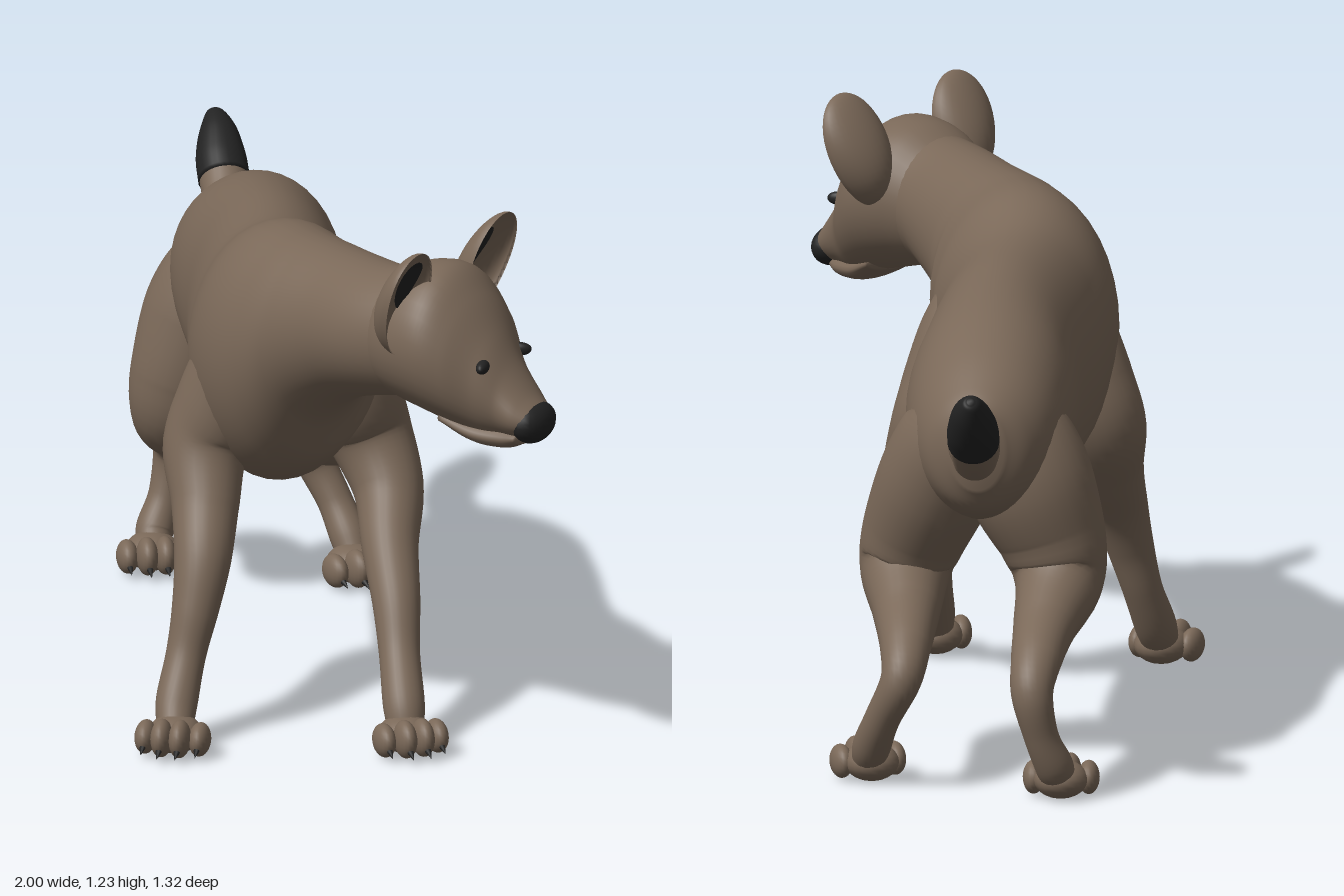
import * as THREE from 'three';

const fur = new THREE.MeshStandardMaterial({ color: 0x7a6858 });
fur.name = 'brownFur';
const dark = new THREE.MeshStandardMaterial({ color: 0x222222 });
dark.name = 'darkMarking';

const Y = new THREE.Vector3(0, 1, 0), Z = new THREE.Vector3(0, 0, 1);

// Smooth closed skin through elliptical sections [x, y, z, w, h].
// Upright sections stay vertical; otherwise they sit square to the path.
function loft(stations, upright, seg = 28, per = 7) {
  const path = new THREE.CatmullRomCurve3(stations.map(s => new THREE.Vector3(s[0], s[1], s[2])), false, 'catmullrom');
  const size = new THREE.CatmullRomCurve3(stations.map(s => new THREE.Vector3(s[3], s[4], 0)), false, 'catmullrom');
  const n = (stations.length - 1) * per, pos = [], idx = [], poles = [];
  for (let i = 0; i <= n; i++) {
    const c = path.getPoint(i / n), r = size.getPoint(i / n), t = path.getTangent(i / n);
    const side = new THREE.Vector3().crossVectors(upright ? Y : Z, t).normalize();
    const up = upright ? Y : new THREE.Vector3().crossVectors(t, side);
    for (let j = 0; j < seg; j++) {
      const a = j / seg * Math.PI * 2;
      const p = c.clone().addScaledVector(side, Math.cos(a) * r.x).addScaledVector(up, Math.sin(a) * r.y);
      pos.push(p.x, p.y, p.z);
    }
    if (i === 0 || i === n) poles.push(c.addScaledVector(t, (i ? 0.35 : -0.35) * Math.min(r.x, r.y)));
  }
  poles.forEach(p => pos.push(p.x, p.y, p.z));
  const first = (n + 1) * seg;
  for (let j = 0; j < seg; j++) {
    const k = (j + 1) % seg;
    for (let i = 0; i < n; i++) {
      const a = i * seg + j, b = i * seg + k;
      idx.push(a, b, a + seg, b, b + seg, a + seg);
    }
    idx.push(k, j, first, n * seg + j, n * seg + k, first + 1);
  }
  const g = new THREE.BufferGeometry();
  g.setAttribute('position', new THREE.Float32BufferAttribute(pos, 3));
  g.setIndex(idx);
  g.computeVertexNormals();
  return g;
}

function add(parent, name, geometry, material) {
  const m = new THREE.Mesh(geometry, material);
  m.name = name;
  parent.add(m);
  return m;
}

// Section given as x, top, bottom, z, half width
const section = ([x, top, bottom, z, w]) => [x, (top + bottom) / 2, z, w, (top - bottom) / 2];
const round = ([x, y, z, r]) => [x, y, z, r, r];

function ball(parent, name, material, p, s) {
  const m = add(parent, name, new THREE.SphereGeometry(1, 20, 14), material);
  m.position.set(...p);
  m.scale.set(...s);
  return m;
}

// Paw with four toes and claws, pointing along its local +x
function paw(name, x, z, heading) {
  const g = new THREE.Group();
  g.name = name;
  g.position.set(x, 0, z);
  g.rotation.y = -heading;
  ball(g, 'pad', fur, [-0.015, 0.052, 0], [0.065, 0.042, 0.06]);
  [-1.5, -0.5, 0.5, 1.5].forEach(k => {
    const mid = Math.abs(k) < 1, fx = mid ? 0.04 : 0.015, tz = k * 0.04;
    ball(g, 'toe', fur, [fx, mid ? 0.056 : 0.05, tz], [0.045, mid ? 0.042 : 0.037, 0.024]);
    const claw = add(g, 'claw', new THREE.ConeGeometry(0.009, 0.035, 8), dark);
    claw.position.set(fx + 0.047, 0.032, tz);
    claw.rotation.z = -2.0;
  });
  return g;
}

// Cupped ear: a sphere whose front half is pushed back into a bowl, thin at the tip
function ear(name, p, roll) {
  const g = new THREE.Group();
  g.name = name;
  g.position.set(...p);
  g.rotation.set(0.27, 1.88, roll, 'YXZ');
  const w = v => 0.093 * (0.92 + 0.12 * v), h = 0.128;
  const bowl = v => 0.04 - 0.02 * v;
  const shell = new THREE.SphereGeometry(1, 32, 24), a = shell.attributes.position;
  for (let i = 0; i < a.count; i++) {
    const x = a.getX(i), y = a.getY(i), z = a.getZ(i);
    a.setXYZ(i, x * w(y), y * h, z > 0 ? -bowl(y) * z : (bowl(y) + 0.025) * z);
  }
  shell.computeVertexNormals();
  add(g, 'earShell', shell, fur);
  // Dark lining following the bowl, wider at the top
  const lining = new THREE.RingGeometry(0.001, 1, 24, 6), b = lining.attributes.position;
  for (let i = 0; i < b.count; i++) {
    const v = b.getY(i), x = b.getX(i) * (0.38 + 0.12 * v) + Math.sign(roll) * 0.31, y = v * 0.5 + 0.2;
    b.setXYZ(i, x * w(y), y * h, 0.004 - bowl(y) * Math.sqrt(Math.max(0, 1 - x * x - y * y)));
  }
  lining.computeVertexNormals();
  add(g, 'earLining', lining, dark);
  return g;
}

export function createModel() {
  const model = new THREE.Group();
  model.name = 'animal';

  // Trunk and neck
  add(model, 'body', loft([
    [-0.69, 0.86, 0.68, -0.44, 0.06], [-0.65, 0.9, 0.62, -0.41, 0.12], [-0.56, 0.965, 0.58, -0.345, 0.165],
    [-0.42, 1.025, 0.55, -0.25, 0.185], [-0.22, 1.06, 0.51, -0.11, 0.18], [0, 1.075, 0.5, 0.06, 0.19],
    [0.14, 1.125, 0.53, 0.155, 0.205], [0.26, 1.13, 0.6, 0.195, 0.19], [0.34, 1.13, 0.725, 0.208, 0.165],
    [0.44, 1.13, 0.795, 0.22, 0.148], [0.58, 1.135, 0.842, 0.236, 0.14], [0.7, 1.15, 0.865, 0.225, 0.13],
  ].map(section), true, 40), fur);

  // Head and muzzle
  const head = new THREE.Group();
  head.name = 'head';
  model.add(head);
  add(head, 'skull', loft([
    [0.6, 1.12, 0.87, 0.235, 0.12], [0.68, 1.165, 0.85, 0.222, 0.155], [0.76, 1.17, 0.83, 0.202, 0.165],
    [0.82, 1.115, 0.815, 0.187, 0.143], [0.87, 1.04, 0.805, 0.175, 0.104], [0.91, 0.97, 0.81, 0.164, 0.08],
    [0.95, 0.915, 0.815, 0.155, 0.068], [0.98, 0.885, 0.825, 0.148, 0.05],
  ].map(section), true, 36), fur);
  add(head, 'lowerJaw', loft([
    [0.78, 0.87, 0.825, 0.2, 0.09], [0.85, 0.85, 0.79, 0.183, 0.078],
    [0.91, 0.84, 0.785, 0.165, 0.06], [0.945, 0.83, 0.798, 0.156, 0.042],
  ].map(section), true, 24), fur);
  ball(head, 'nose', dark, [0.96, 0.848, 0.147], [0.039, 0.046, 0.068]).rotation.y = 0.3;
  ball(head, 'nearEye', dark, [0.901, 0.978, 0.243], [0.014, 0.015, 0.03]).rotation.y = 0.6;
  ball(head, 'farEye', dark, [0.85, 0.978, 0.092], [0.012, 0.015, 0.026]).rotation.y = -0.75;
  head.add(ear('nearEar', [0.79, 1.117, 0.362], 0.2), ear('farEar', [0.695, 1.122, 0.045], -0.2));

  // Tail with dark tip
  add(model, 'tail', loft([
    [-0.62, 0.79, -0.41, 0.065], [-0.7, 0.775, -0.45, 0.055], [-0.78, 0.775, -0.495, 0.048],
    [-0.84, 0.81, -0.53, 0.052], [-0.885, 0.85, -0.56, 0.055],
  ].map(round), false), fur);
  add(model, 'tailTip', loft([
    [-0.875, 0.84, -0.553, 0.057], [-0.915, 0.877, -0.578, 0.055], [-0.955, 0.92, -0.605, 0.042],
    [-0.985, 0.95, -0.622, 0.022], [-0.993, 0.958, -0.627, 0.008],
  ].map(round), false), dark);

  // Legs as [x, y, z, radius] from shoulder or hip down, each with its paw position and heading
  const legs = {
    nearForeleg: [[[0.13, 0.95, 0.24, 0.06], [0.1, 0.83, 0.235, 0.1], [0.06, 0.71, 0.255, 0.108],
      [0.035, 0.61, 0.29, 0.095], [0.085, 0.5, 0.335, 0.075], [0.14, 0.4, 0.39, 0.063],
      [0.162, 0.3, 0.43, 0.052], [0.17, 0.2, 0.465, 0.044], [0.192, 0.11, 0.51, 0.046],
      [0.22, 0.06, 0.54, 0.04]], [0.24, 0.56, 0.9]],
    farForeleg: [[[0.19, 0.95, 0.07, 0.06], [0.18, 0.83, 0.035, 0.1], [0.18, 0.71, -0.005, 0.108],
      [0.185, 0.61, -0.05, 0.095], [0.255, 0.5, -0.045, 0.078], [0.33, 0.4, 0.015, 0.063],
      [0.408, 0.3, 0.065, 0.053], [0.465, 0.2, 0.105, 0.045], [0.525, 0.11, 0.145, 0.046],
      [0.55, 0.06, 0.16, 0.04]], [0.575, 0.175, 0.4]],
    nearHindLeg: [[[-0.5, 0.89, -0.27, 0.07], [-0.54, 0.78, -0.275, 0.125], [-0.58, 0.66, -0.245, 0.14],
      [-0.605, 0.53, -0.2, 0.118], [-0.63, 0.44, -0.2, 0.098], [-0.72, 0.37, -0.285, 0.07],
      [-0.82, 0.315, -0.365, 0.055], [-0.865, 0.255, -0.4, 0.046], [-0.87, 0.16, -0.38, 0.038],
      [-0.865, 0.09, -0.345, 0.042], [-0.845, 0.06, -0.325, 0.036]], [-0.825, -0.305, 0.55]],
    farHindLeg: [[[-0.5, 0.89, -0.36, 0.07], [-0.51, 0.78, -0.38, 0.12], [-0.45, 0.66, -0.4, 0.13],
      [-0.37, 0.52, -0.415, 0.115], [-0.36, 0.44, -0.43, 0.1], [-0.46, 0.375, -0.485, 0.075],
      [-0.57, 0.32, -0.55, 0.056], [-0.62, 0.26, -0.59, 0.045], [-0.575, 0.17, -0.61, 0.039],
      [-0.525, 0.1, -0.608, 0.042], [-0.495, 0.06, -0.6, 0.036]], [-0.465, -0.58, 0.25]],
  };
  for (const [name, [points, foot]] of Object.entries(legs)) {
    const leg = new THREE.Group();
    leg.name = name;
    add(leg, name + 'Limb', loft(points.map(round), false), fur);
    leg.add(paw(name + 'Paw', ...foot));
    model.add(leg);
  }
  return model;
}
